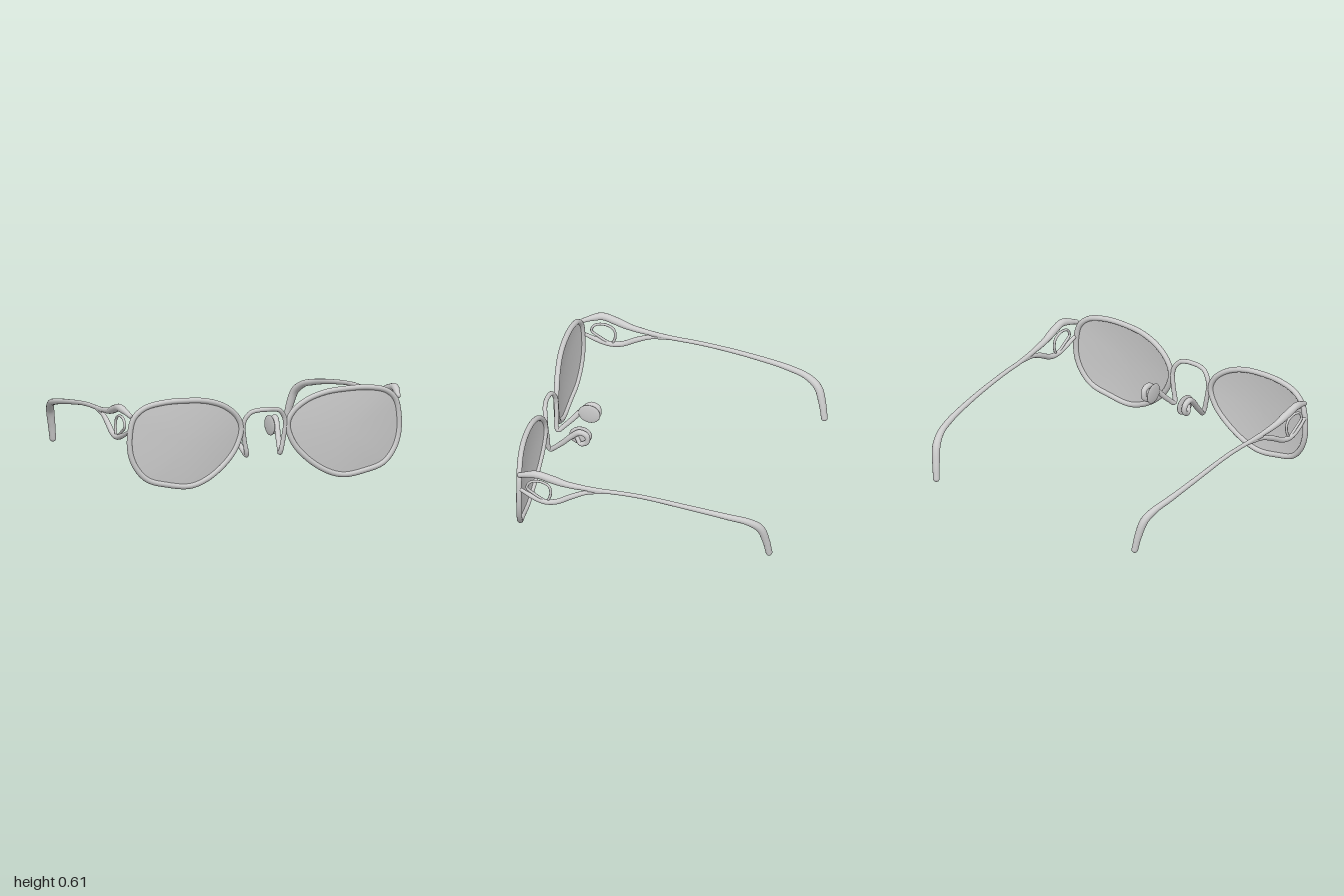
import * as THREE from 'three';

const metal = new THREE.MeshStandardMaterial({ color: 0xcccccc });
const thin = new THREE.MeshStandardMaterial({ color: 0xcccccc, side: THREE.DoubleSide });

// face curve of the front: furthest forward at the middle of each lens
const faceZ = (x) => 0.842 - 0.22 * (x - 0.555) ** 2;

function curveOf(points, side = 1, closed = false) {
  return new THREE.CatmullRomCurve3(
    points.map(([x, y, z]) => new THREE.Vector3(x * side, y, z)), closed, 'centripetal');
}

// round wire along a curve; radii are spread evenly over its length, open ends get round caps
function wire(name, curve, radii, segments = 60, sides = 14) {
  const group = new THREE.Group();
  group.name = name;
  const geo = new THREE.TubeGeometry(curve, segments, 1, sides, curve.closed);
  const pos = geo.attributes.position;
  const v = new THREE.Vector3();
  const radiusAt = (u) => {
    const t = u * (radii.length - 1);
    const i = Math.min(Math.floor(t), radii.length - 2);
    return radii.length === 1 ? radii[0]
      : THREE.MathUtils.lerp(radii[i], radii[i + 1], THREE.MathUtils.smoothstep(t - i, 0, 1));
  };
  for (let i = 0; i <= segments; i++) {
    const c = curve.getPointAt(i / segments);
    for (let j = 0; j <= sides; j++) {
      const k = i * (sides + 1) + j;
      v.fromBufferAttribute(pos, k).sub(c).multiplyScalar(radiusAt(i / segments)).add(c);
      pos.setXYZ(k, v.x, v.y, v.z);
    }
  }
  const tube = new THREE.Mesh(geo, metal);
  tube.name = name + 'Wire';
  group.add(tube);
  if (!curve.closed) {
    for (const u of [0, 1]) {
      const cap = new THREE.Mesh(new THREE.SphereGeometry(radiusAt(u), sides, 8), metal);
      cap.position.copy(curve.getPointAt(u));
      cap.name = name + 'End';
      group.add(cap);
    }
  }
  return group;
}

// slightly domed sheet filling the rim, built from shrinking rings
function lensGeometry(curve, side) {
  const n = 72, rings = 8, cx = 0.555, cy = 0.31;
  const outline = curve.getSpacedPoints(n);
  const pos = [], index = [];
  for (let r = 0; r <= rings; r++) {
    const f = r / rings;
    for (let i = 0; i < n; i++) {
      const x = cx + (outline[i].x * side - cx) * f;
      const y = cy + (outline[i].y - cy) * f;
      pos.push(x * side, y, faceZ(x) + 0.012 * (1 - f * f));
      if (r === rings) continue;
      const a = r * n + i, b = r * n + (i + 1) % n;
      if (r > 0) index.push(a, b, a + n);
      index.push(b, b + n, a + n);
    }
  }
  const geo = new THREE.BufferGeometry();
  geo.setAttribute('position', new THREE.Float32BufferAttribute(pos, 3));
  geo.setIndex(index);
  geo.computeVertexNormals();
  return geo;
}

const rimOutline = [
  [0.164, 0.37], [0.195, 0.45], [0.285, 0.525], [0.415, 0.572], [0.57, 0.587], [0.725, 0.583],
  [0.852, 0.552], [0.922, 0.488], [0.948, 0.38], [0.943, 0.25], [0.902, 0.15], [0.828, 0.074],
  [0.70, 0.036], [0.54, 0.017], [0.418, 0.055], [0.287, 0.147], [0.2, 0.252],
].map(([x, y]) => [x, y, faceZ(x)]);

function createSide(side, label) {
  const group = new THREE.Group();
  group.name = label + 'Side';

  // rim and lens
  const rim = curveOf(rimOutline, side, true);
  group.add(wire('rim', rim, [0.018], 140));
  const lens = new THREE.Mesh(lensGeometry(rim, side), thin);
  lens.name = 'lens';
  group.add(lens);

  // temple arm with the hooked ear end
  group.add(wire('temple', curveOf([
    [0.951, 0.461, 0.34], [0.94, 0.456, 0.2], [0.934, 0.445, 0], [0.929, 0.405, -0.3],
    [0.912, 0.355, -0.58], [0.888, 0.32, -0.71], [0.862, 0.265, -0.785],
    [0.838, 0.16, -0.82], [0.822, 0.06, -0.837],
  ], side), [0.016, 0.014, 0.0145, 0.016, 0.018, 0.021, 0.027, 0.022], 90));

  // forked front of the temple: upper and lower branch
  group.add(wire('upperBranch', curveOf([
    [0.945, 0.505, 0.805], [0.957, 0.525, 0.75], [0.969, 0.54, 0.68], [0.967, 0.517, 0.59],
    [0.96, 0.487, 0.49], [0.95, 0.466, 0.34], [0.942, 0.457, 0.22],
  ], side), [0.016, 0.025, 0.026, 0.02, 0.016, 0.014]));
  group.add(wire('lowerBranch', curveOf([
    [0.95, 0.4, 0.8], [0.96, 0.362, 0.72], [0.966, 0.336, 0.63], [0.964, 0.347, 0.55],
    [0.958, 0.398, 0.45], [0.951, 0.438, 0.35], [0.942, 0.455, 0.22],
  ], side), [0.012, 0.017, 0.018, 0.018, 0.015, 0.014]));

  // fine decorative loop inside the fork
  group.add(wire('forkLoop', curveOf([
    [0.964, 0.335, 0.62], [0.962, 0.38, 0.695], [0.961, 0.425, 0.752], [0.961, 0.47, 0.73],
    [0.961, 0.483, 0.66], [0.961, 0.455, 0.605], [0.962, 0.4, 0.593], [0.964, 0.345, 0.61],
  ], side), [0.009], 60, 8));

  // nose wire: down from the bridge, then back and curled behind the pad
  group.add(wire('noseArm', curveOf([
    [0.15, 0.37, 0.806], [0.137, 0.28, 0.8], [0.121, 0.2, 0.797], [0.118, 0.182, 0.785],
    [0.13, 0.215, 0.745], [0.145, 0.27, 0.69], [0.16, 0.335, 0.63], [0.17, 0.375, 0.575],
    [0.17, 0.355, 0.53], [0.167, 0.305, 0.53], [0.158, 0.281, 0.575], [0.145, 0.315, 0.6],
  ], side), [0.015, 0.015, 0.016, 0.018, 0.02, 0.018, 0.014], 100));

  // nose pad: shallow disc facing the nose
  const pad = new THREE.Mesh(new THREE.SphereGeometry(1, 28, 14), metal);
  pad.name = 'nosePad';
  pad.scale.set(0.01, 0.067, 0.075);
  pad.position.set(0.13 * side, 0.328, 0.58);
  pad.rotation.y = 0.08 * side;
  group.add(pad);
  return group;
}

export function createModel() {
  const model = new THREE.Group();
  model.name = 'eyeglasses';
  model.add(createSide(1, 'left'), createSide(-1, 'right'));

  // arched bridge
  model.add(wire('bridge', curveOf([
    [-0.152, 0.36, 0.806], [-0.138, 0.425, 0.812], [-0.1, 0.472, 0.825], [-0.05, 0.485, 0.834],
    [0, 0.486, 0.837], [0.05, 0.485, 0.834], [0.1, 0.472, 0.825], [0.138, 0.425, 0.812],
    [0.152, 0.36, 0.806],
  ]), [0.015], 60));
  return model;
}
